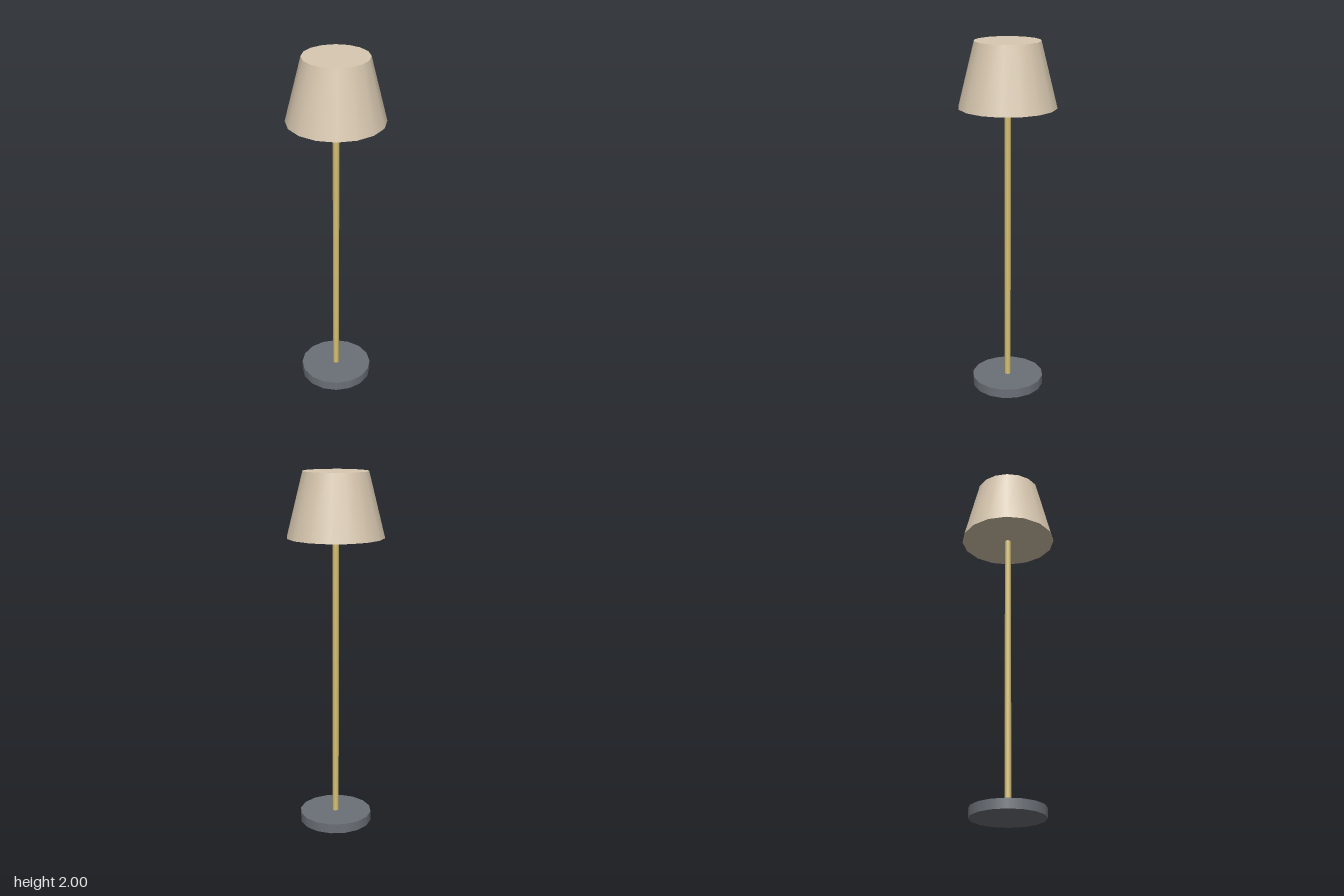
import * as THREE from 'three';

export function createModel() {
  const model = new THREE.Group();
  model.name = 'floorLamp';

  const material = (name, color) => {
    const m = new THREE.MeshStandardMaterial({ color });
    m.name = name;
    return m;
  };
  const charcoal = material('charcoal', 0x6b7077);
  const brass = material('brass', 0xd8c274);
  const linen = material('linen', 0xd8c8b0);

  // Closed, smooth-sided round part standing between two heights
  const addRound = (name, mat, topRadius, bottomRadius, y0, y1, sides) => {
    const geometry = new THREE.CylinderGeometry(topRadius, bottomRadius, y1 - y0, sides);
    const mesh = new THREE.Mesh(geometry, mat);
    mesh.name = name;
    mesh.position.y = (y0 + y1) / 2;
    model.add(mesh);
  };

  addRound('base', charcoal, 0.205, 0.205, 0, 0.054, 16);
  addRound('pole', brass, 0.018, 0.018, 0.054, 1.647, 8);
  addRound('shade', linen, 0.179, 0.268, 1.647, 2, 16);

  return model;
}
